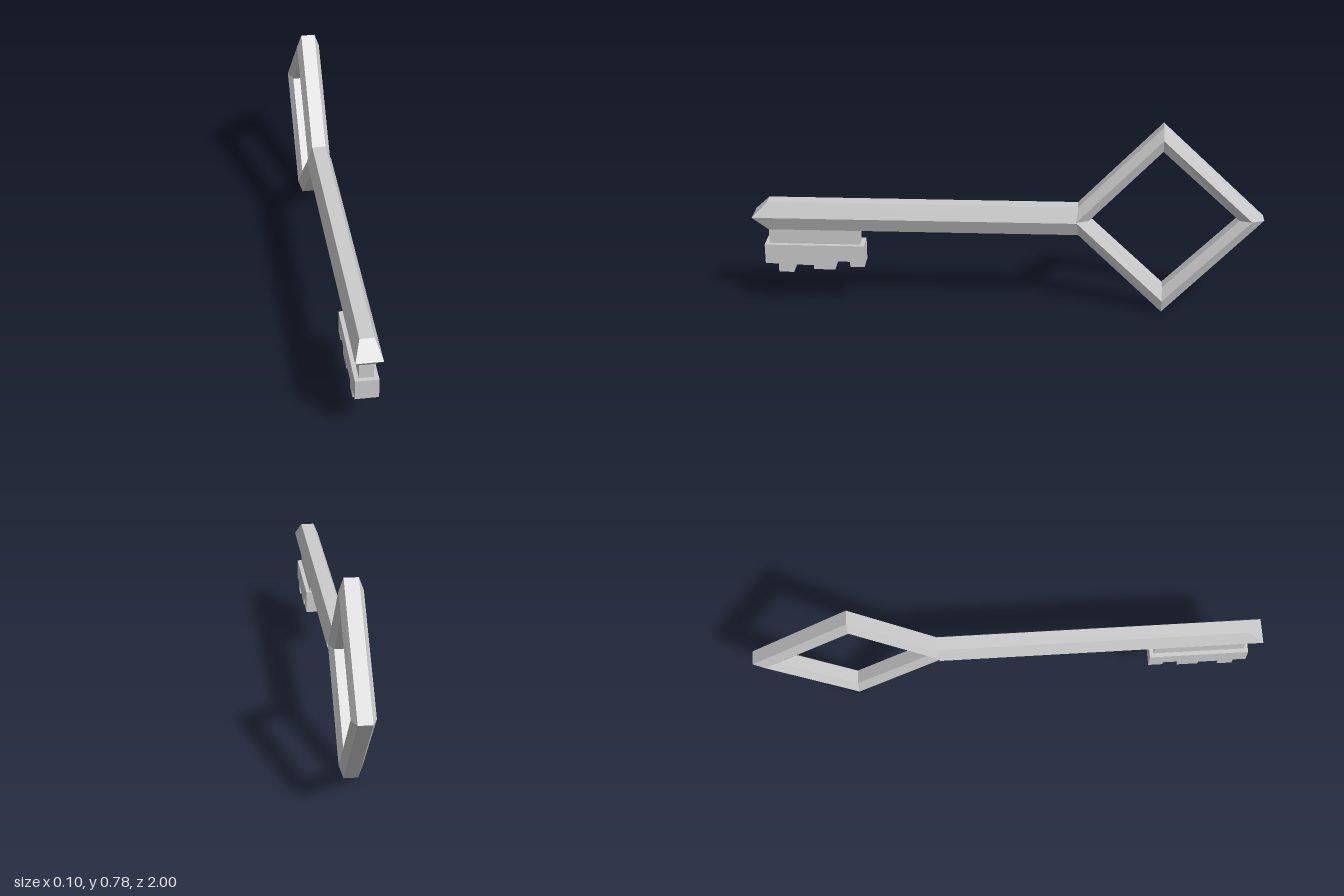
import * as THREE from 'three';

const material = new THREE.MeshStandardMaterial({ color: 0xcccccc, flatShading: true });

// Skins a list of six-sided sections; closed loops join up, open ones get folded end caps.
function loft(sections, closed) {
  const pos = [];
  const quad = (a, b, c, d) => pos.push(...a, ...b, ...c, ...a, ...c, ...d);
  const n = sections.length;
  for (let i = 0; i < (closed ? n : n - 1); i++) {
    const s = sections[i], t = sections[(i + 1) % n];
    for (let k = 0; k < 6; k++) {
      const m = (k + 1) % 6;
      quad(s[k], s[m], t[m], t[k]);
    }
  }
  if (!closed) {
    const s = sections[0], e = sections[n - 1];
    quad(s[5], s[4], s[1], s[0]);
    quad(s[4], s[3], s[2], s[1]);
    quad(e[0], e[1], e[4], e[5]);
    quad(e[1], e[2], e[3], e[4]);
  }
  const g = new THREE.BufferGeometry();
  g.setAttribute('position', new THREE.Float32BufferAttribute(pos, 3));
  g.computeVertexNormals();
  return g;
}

// Six-sided section from three [z, y] points: two narrow flats and a wide ridge between them.
function hexSection(a, mid, b, flat, ridge) {
  const half = [[flat, a], [ridge, mid], [flat, b]].map(([x, p]) => [x, p[1], p[0]]);
  return [...half, ...half.map(([x, y, z]) => [-x, y, z]).reverse()];
}

// Extrudes a [z, y] outline across x, centred on x = 0.
function plate(points, width) {
  const shape = new THREE.Shape(points.map(([z, y]) => new THREE.Vector2(z, y)));
  const g = new THREE.ExtrudeGeometry(shape, { depth: width, bevelEnabled: false });
  g.translate(0, 0, -width / 2);
  g.rotateY(-Math.PI / 2);
  return g;
}

export function createModel() {
  const key = new THREE.Group();
  key.name = 'key';
  const add = (name, geometry) => {
    const mesh = new THREE.Mesh(geometry, material);
    mesh.name = name;
    key.add(mesh);
  };

  // Hexagonal shaft with a pointed front end
  add('shaft', loft([
    hexSection([0.94, 0.445], [1, 0.385], [0.94, 0.327], 0.027, 0.05),
    hexSection([-0.28, 0.445], [-0.27, 0.385], [-0.28, 0.327], 0.027, 0.05),
  ], false));

  // Diamond bow: outer and inner corners, ridge halfway between
  const corners = [
    [[-0.22, 0.385], [-0.32, 0.388]],
    [[-0.6, 0.782], [-0.6, 0.682]],
    [[-1, 0.403], [-0.905, 0.4]],
    [[-0.615, 0], [-0.615, 0.107]],
  ];
  add('bow', loft(corners.map(([o, i]) =>
    hexSection(o, [(o[0] + i[0]) / 2, (o[1] + i[1]) / 2], i, 0.027, 0.045)), true));

  // Neck between shaft and bit
  add('bitNeck', plate([[0.58, 0.26], [0.94, 0.26], [0.94, 0.335], [0.58, 0.335]], 0.054));

  // Toothed bit
  add('bit', plate([
    [0.563, 0.268], [0.563, 0.178], [0.62, 0.178], [0.62, 0.2], [0.68, 0.2],
    [0.68, 0.165], [0.765, 0.165], [0.765, 0.183], [0.845, 0.183], [0.845, 0.151],
    [0.905, 0.151], [0.905, 0.187], [0.957, 0.187], [0.957, 0.268],
  ], 0.087));

  return key;
}
